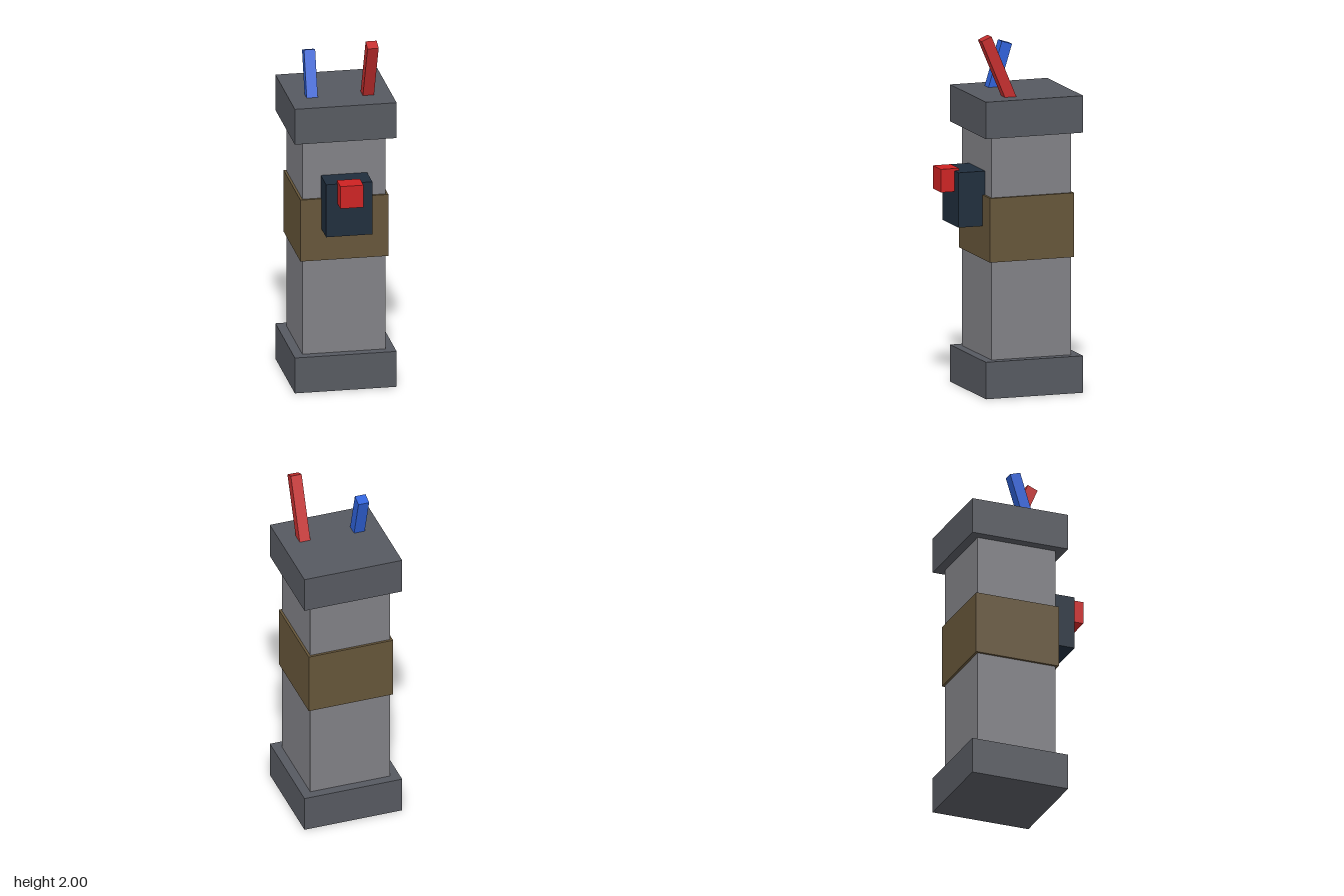
import * as THREE from 'three';

const mat = (name, color) => Object.assign(new THREE.MeshStandardMaterial({ color }), { name });

export function createModel() {
  const casing = mat('casing grey', 0x808085);
  const capGrey = mat('cap grey', 0x565960);
  const brown = mat('strap brown', 0x655539);
  const navy = mat('dark navy', 0x1f2d3c);
  const buttonRed = mat('button red', 0xcc2222);
  const wireRed = mat('wire red', 0xc42e2e);
  const wireBlue = mat('wire blue', 0x2f62d9);

  const model = new THREE.Group();
  model.name = 'device';

  // Box given by its width, y range and z range
  function box(name, material, width, y0, y1, z0, z1) {
    const mesh = new THREE.Mesh(new THREE.BoxGeometry(width, y1 - y0, z1 - z0), material);
    mesh.name = name;
    mesh.position.set(0, (y0 + y1) / 2, (z0 + z1) / 2);
    model.add(mesh);
  }

  // Square post centred on the body axis
  const axisZ = -0.0905;
  const post = (name, material, width, y0, y1) =>
    box(name, material, width, y0, y1, axisZ - width / 2, axisZ + width / 2);

  post('body', casing, 0.464, 0.1, 1.55);
  post('bottomCap', capGrey, 0.568, 0, 0.206);
  post('topCap', capGrey, 0.568, 1.45, 1.656);
  post('strap', brown, 0.491, 0.752, 1.11);

  // Trigger unit on the front
  box('triggerBox', navy, 0.258, 0.936, 1.242, 0.09, 0.296);
  box('triggerButton', buttonRed, 0.129, 1.126, 1.255, 0.27, 0.375);

  // Tilted wire whose top end is centred at (x, y, z)
  function wire(name, material, x, y, z, length, tilt) {
    const geometry = new THREE.BoxGeometry(0.062, length, 0.062).translate(0, -length / 2, 0);
    const mesh = new THREE.Mesh(geometry, material);
    mesh.name = name;
    mesh.position.set(x, y, z);
    mesh.rotation.x = tilt;
    model.add(mesh);
  }
  wire('redWire', wireRed, 0.155, 1.988, 0.153, 0.42, 0.4);
  wire('blueWire', wireBlue, -0.155, 1.9, -0.08, 0.31, -0.3);

  return model;
}
